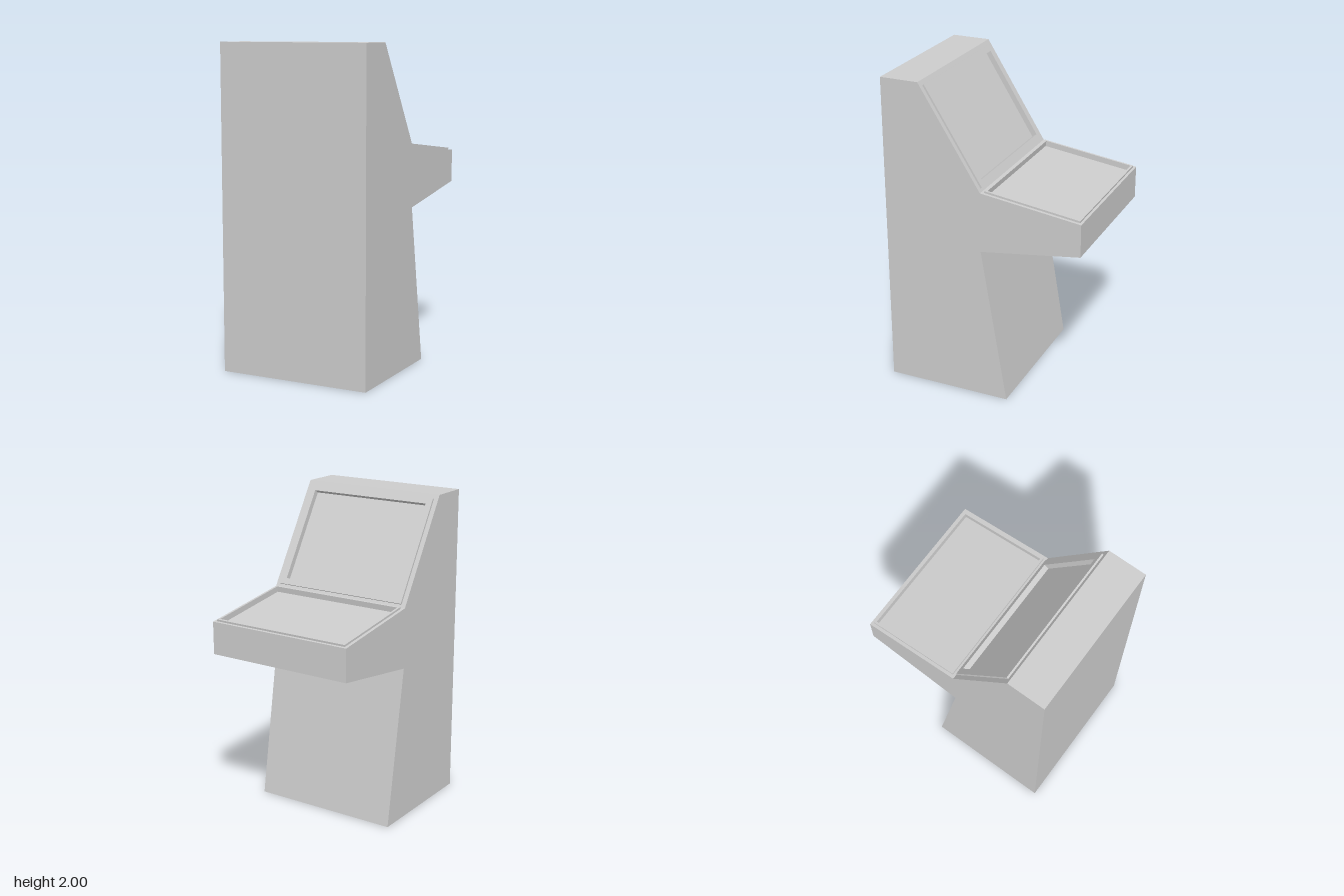
import * as THREE from 'three';

const W = 0.48; // half width of the cabinet
const RIM = 0.012; // height of the raised bezels

// Side profile as [z, y], running up the flat side, over the top and down the controls
const PROFILE = [
  [0.635, 0], [0.635, 2], [0.39, 2], [0, 1.375],
  [-0.635, 1.29], [-0.635, 1.085], [0, 0.995], [-0.165, 0],
];
const FACES = ['flatPanel', 'topPanel', 'screenPanel', 'controlPanel',
  'controlFront', 'controlUnderside', 'lowerPanel', 'basePanel'];

// Bezels by face: half width, start and end along the slope, border, recess depth
const BEZELS = {
  screenPanel: { half: 0.45, from: 0.03, to: 0.717, border: 0.04, depth: 0.023, floor: 'screen' },
  controlPanel: { half: 0.46, from: 0.018, to: 0.625, border: 0.014, depth: 0.024, floor: 'controlDeck' },
};

function rect(half, y0, y1, Type = THREE.Shape) {
  return new Type([[-half, y0], [half, y0], [half, y1], [-half, y1]]
    .map(([x, y]) => new THREE.Vector2(x, y)));
}

export function createModel() {
  const model = new THREE.Group();
  model.name = 'arcadeCabinet';
  const material = new THREE.MeshStandardMaterial({ color: 0xcccccc, flatShading: true });
  const add = (parent, name, geometry) => {
    const mesh = new THREE.Mesh(geometry, material);
    mesh.name = name;
    parent.add(mesh);
    return mesh;
  };

  // Side walls
  for (const side of [1, -1]) {
    const outline = new THREE.Shape(PROFILE.map(([z, y]) => new THREE.Vector2(-side * z, y)));
    const wall = add(model, side > 0 ? 'leftSide' : 'rightSide', new THREE.ShapeGeometry(outline));
    wall.rotation.y = side * Math.PI / 2;
    wall.position.x = side * W;
  }

  // One panel per profile edge; local y runs along the edge, local z points outward
  PROFILE.forEach(([z0, y0], i) => {
    const [z1, y1] = PROFILE[(i + 1) % PROFILE.length];
    const length = Math.hypot(z1 - z0, y1 - y0);
    const along = new THREE.Vector3(0, y1 - y0, z1 - z0).divideScalar(length);
    const across = new THREE.Vector3(1, 0, 0);
    const out = across.clone().cross(along);

    const panel = new THREE.Group();
    panel.name = FACES[i] + 'Assembly';
    panel.quaternion.setFromRotationMatrix(new THREE.Matrix4().makeBasis(across, along, out));
    panel.position.set(0, y0, z0);
    model.add(panel);

    const skin = rect(W, 0, length);
    const bezel = BEZELS[FACES[i]];
    if (bezel) {
      const { half, from, to, border, depth, floor } = bezel;
      const opening = [half - border, from + border, to - border];
      skin.holes.push(rect(...opening, THREE.Path));

      // Raised frame whose inner walls reach down to the recessed floor
      const ring = rect(half, from, to);
      ring.holes.push(rect(...opening, THREE.Path));
      const frame = add(panel, floor + 'Bezel',
        new THREE.ExtrudeGeometry(ring, { depth: depth + RIM, bevelEnabled: false }));
      frame.position.z = -depth;

      add(panel, floor, new THREE.ShapeGeometry(rect(...opening))).position.z = -depth;
    }
    add(panel, FACES[i], new THREE.ShapeGeometry(skin));
  });

  return model;
}
